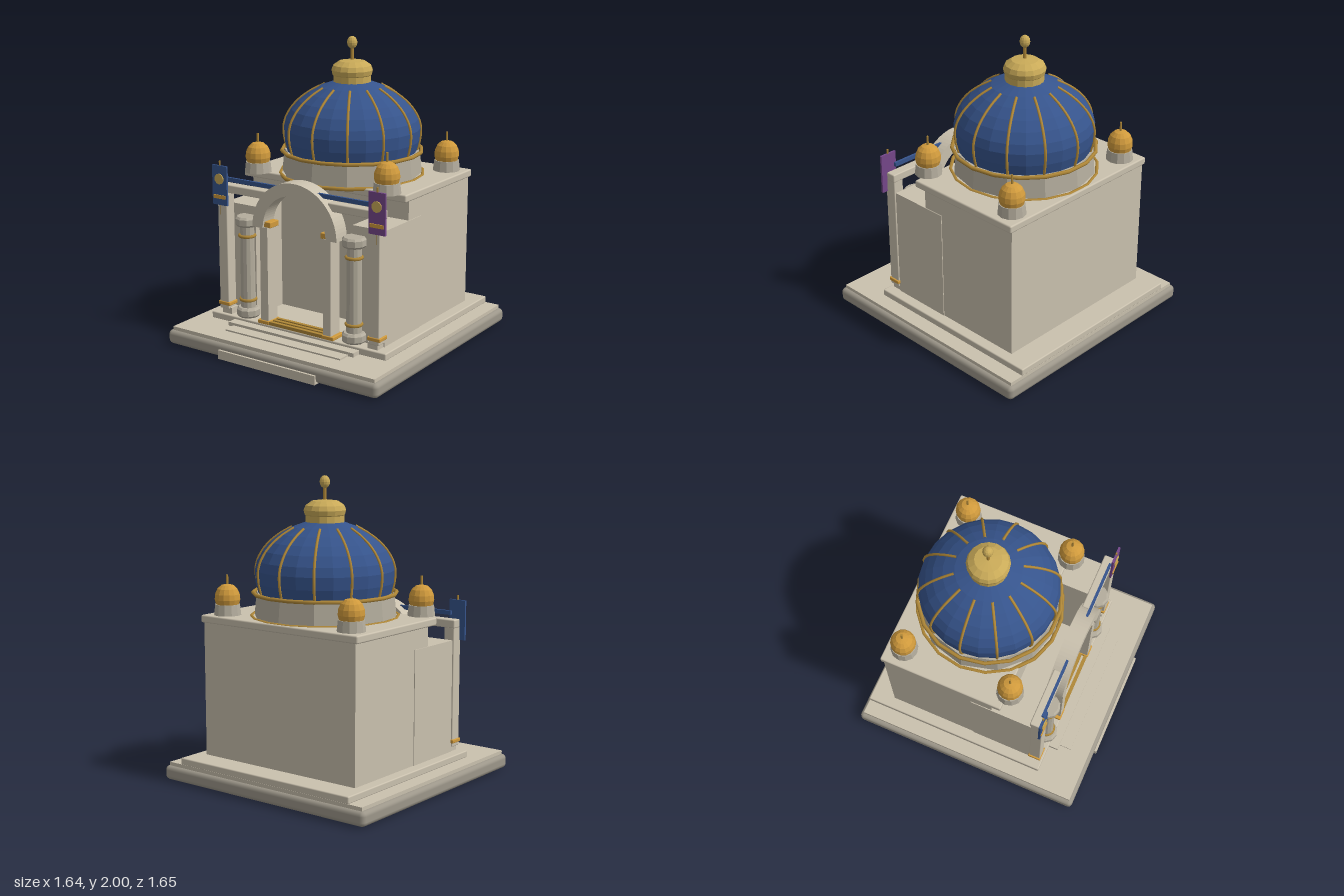
import * as THREE from 'three';
import { RoundedBoxGeometry } from 'three/addons/geometries/RoundedBoxGeometry.js';

function mat(name, color) {
  const m = new THREE.MeshStandardMaterial({ color });
  m.name = name;
  return m;
}

export function createModel() {
  const root = new THREE.Group();
  root.name = 'domedShrine';
  const stone = mat('paleStone', 0xcac1ae);
  const greyStone = mat('greyStone', 0xb4ad9d);
  const baseStone = mat('plinthStone', 0x9d978a);
  const blue = mat('domeBlue', 0x36548c);
  const purple = mat('bannerPurple', 0x75478a);
  const gold = mat('brightGold', 0xc9aa58);
  const amber = mat('amberGold', 0xd09a3c);
  const trim = mat('darkGold', 0xb08838);

  const add = (name, geo, material, x = 0, y = 0, z = 0, parent = root) => {
    const mesh = new THREE.Mesh(geo, material);
    mesh.name = name;
    mesh.position.set(x, y, z);
    parent.add(mesh);
    return mesh;
  };
  // box given by its limits, optionally with rounded edges
  const box = (name, m, x0, x1, y0, y1, z0, z1, r = 0) => {
    const s = [x1 - x0, y1 - y0, z1 - z0];
    const geo = r ? new RoundedBoxGeometry(...s, 2, r) : new THREE.BoxGeometry(...s);
    return add(name, geo, m, (x0 + x1) / 2, (y0 + y1) / 2, (z0 + z1) / 2);
  };
  // the same box on both sides
  const pair = (name, m, x0, x1, ...rest) => {
    box(name + 'Left', m, x0, x1, ...rest);
    box(name + 'Right', m, -x1, -x0, ...rest);
  };
  const flat = (geo) => {
    const g = geo.index ? geo.toNonIndexed() : geo;
    g.computeVertexNormals();
    return g;
  };
  const lathe = (points, sides) =>
    flat(new THREE.LatheGeometry(points.map((p) => new THREE.Vector2(...p)), sides));
  const ring = (r, tube, sides) => new THREE.TorusGeometry(r, tube, 6, sides).rotateX(Math.PI / 2);

  // stepped plinth
  box('plinth', baseStone, -0.82, 0.82, 0.005, 0.1, -0.825, 0.81, 0.03);
  box('plinthTop', stone, -0.79, 0.79, 0.08, 0.123, -0.8, 0.785);
  box('platform', stone, -0.69, 0.69, 0.12, 0.167, -0.8, 0.505, 0.008);
  box('upperStep', stone, -0.495, 0.495, 0.12, 0.15, 0.45, 0.57);
  box('middleStep', stone, -0.455, 0.455, 0.11, 0.133, 0.45, 0.655);
  box('lowerStep', stone, -0.38, 0.38, 0, 0.06, 0.7, 0.825);

  // main hall, roof slab and side wings
  box('hall', stone, -0.615, 0.615, 0.16, 1.06, -0.635, 0.13);
  box('roofSlab', stone, -0.635, 0.635, 1.05, 1.1, -0.645, 0.2, 0.01);
  pair('wing', stone, 0.38, 0.62, 0.16, 0.92, -0.02, 0.41);

  // facade pilasters and beams
  pair('pilaster', stone, 0.555, 0.63, 0.2, 1.005, 0.41, 0.49, 0.006);
  pair('pilasterFoot', stone, 0.54, 0.615, 0.16, 0.21, 0.41, 0.48);
  pair('pilasterBand', amber, 0.545, 0.64, 0.225, 0.25, 0.405, 0.495, 0.006);
  pair('beam', stone, 0.235, 0.635, 1.0, 1.055, 0.405, 0.475, 0.008);
  pair('blueBar', blue, 0.16, 0.57, 1.077, 1.105, 0.457, 0.474);

  // doorway: arch, jambs, capitals and threshold
  const arch = new THREE.Shape();
  arch.absarc(0, 0, 0.328, 0, Math.PI, false);
  arch.absarc(0, 0, 0.245, Math.PI, 0, true);
  add('arch', new THREE.ExtrudeGeometry(arch, { depth: 0.115, bevelEnabled: false, curveSegments: 20 }),
    stone, 0, 0.82, 0.395);
  pair('jamb', stone, 0.217, 0.277, 0.16, 0.825, 0.4, 0.5);
  pair('jambCapital', amber, 0.195, 0.25, 0.822, 0.86, 0.405, 0.495, 0.005);
  pair('jambFoot', amber, 0.21, 0.3, 0.165, 0.19, 0.39, 0.507, 0.005);
  for (const z of [0.41, 0.45, 0.49])
    box('thresholdStrip', trim, -0.22, 0.22, 0.165, 0.188, z - 0.012, z + 0.012);

  // free standing columns
  for (const side of [-1, 1]) {
    const column = new THREE.Group();
    column.name = side > 0 ? 'columnLeft' : 'columnRight';
    column.position.set(side * 0.42, 0, 0.45);
    root.add(column);
    add('columnShaft', flat(new THREE.CylinderGeometry(0.046, 0.05, 0.6, 12)), greyStone, 0, 0.52, 0, column);
    const block = [[0, 0], [0.066, 0], [0.079, 0.014], [0.079, 0.052], [0.066, 0.066], [0, 0.066]];
    add('columnFoot', lathe(block, 10), greyStone, 0, 0.175, 0, column);
    add('columnCapital', lathe(block, 10), greyStone, 0, 0.797, 0, column);
    for (const y of [0.293, 0.73]) add('columnRing', ring(0.05, 0.011, 14), trim, 0, y, 0, column);
  }

  // hanging banners with poles
  for (const side of [-1, 1]) {
    const banner = new THREE.Group();
    banner.name = side > 0 ? 'bannerLeft' : 'bannerRight';
    banner.position.set(side * 0.61, 0, 0.485);
    root.add(banner);
    add('bannerCloth', new THREE.BoxGeometry(0.12, 0.265, 0.014), side > 0 ? purple : blue, 0, 1.047, 0, banner);
    add('bannerPole', new THREE.CylinderGeometry(0.006, 0.006, 0.36, 6), trim, 0, 1.03, 0, banner);
    add('bannerDisc', new THREE.CylinderGeometry(0.036, 0.036, 0.008, 10).rotateX(Math.PI / 2), gold, 0, 1.09, 0.01, banner);
    add('bannerStripe', new THREE.BoxGeometry(0.096, 0.024, 0.009), amber, 0, 0.97, 0.009, banner);
  }

  // drum, dome, ribs and lantern
  const dome = new THREE.Group();
  dome.name = 'domeAssembly';
  dome.position.set(0, 0, -0.15);
  root.add(dome);
  add('drum', flat(new THREE.CylinderGeometry(0.45, 0.465, 0.155, 12)), greyStone, 0, 1.172, 0, dome);
  add('drumLowerRing', ring(0.477, 0.013, 18), trim, 0, 1.095, 0, dome);
  add('drumUpperRing', ring(0.465, 0.013, 18), trim, 0, 1.25, 0, dome);
  const profile = [[0.43, 1.25], [0.447, 1.32], [0.452, 1.4], [0.437, 1.46], [0.4, 1.525],
    [0.35, 1.58], [0.285, 1.63], [0.21, 1.672], [0.12, 1.705], [0, 1.72]];
  add('domeShell', lathe(profile, 24), blue, 0, 0, 0, dome);
  const ribCurve = new THREE.CatmullRomCurve3(
    profile.slice(0, 8).map(([r, y]) => new THREE.Vector3(r + 0.002, y, 0)));
  const ribGeo = new THREE.TubeGeometry(ribCurve, 16, 0.009, 6);
  for (let i = 0; i < 12; i++)
    add('domeRib', ribGeo, trim, 0, 0, 0, dome).rotation.y = (i * Math.PI) / 6;
  add('lanternCollar', flat(new THREE.CylinderGeometry(0.125, 0.125, 0.06, 16)), gold, 0, 1.715, 0, dome);
  add('lanternCap', lathe([[0.11, 1.73], [0.13, 1.75], [0.137, 1.78], [0.125, 1.81], [0.085, 1.838], [0, 1.848]], 16),
    gold, 0, 0, 0, dome);
  add('finialRod', new THREE.CylinderGeometry(0.011, 0.011, 0.1, 8), trim, 0, 1.885, 0, dome);
  add('finialBall', flat(new THREE.SphereGeometry(0.034, 12, 8).scale(1, 1.22, 1)), gold, 0, 1.958, 0, dome);

  // corner turrets
  for (const x of [-0.505, 0.505]) for (const z of [-0.53, 0.213]) {
    const turret = new THREE.Group();
    turret.name = 'cornerTurret';
    turret.position.set(x, 1.1, z);
    root.add(turret);
    add('turretBase', flat(new THREE.CylinderGeometry(0.082, 0.09, 0.07, 12)), greyStone, 0, 0.035, 0, turret);
    add('turretDome', lathe([[0.074, 0.065], [0.083, 0.1], [0.08, 0.135], [0.065, 0.17], [0.04, 0.193], [0, 0.203]], 14),
      amber, 0, 0, 0, turret);
    add('turretSpike', new THREE.CylinderGeometry(0.007, 0.008, 0.07, 6), trim, 0, 0.225, 0, turret);
  }
  return root;
}
